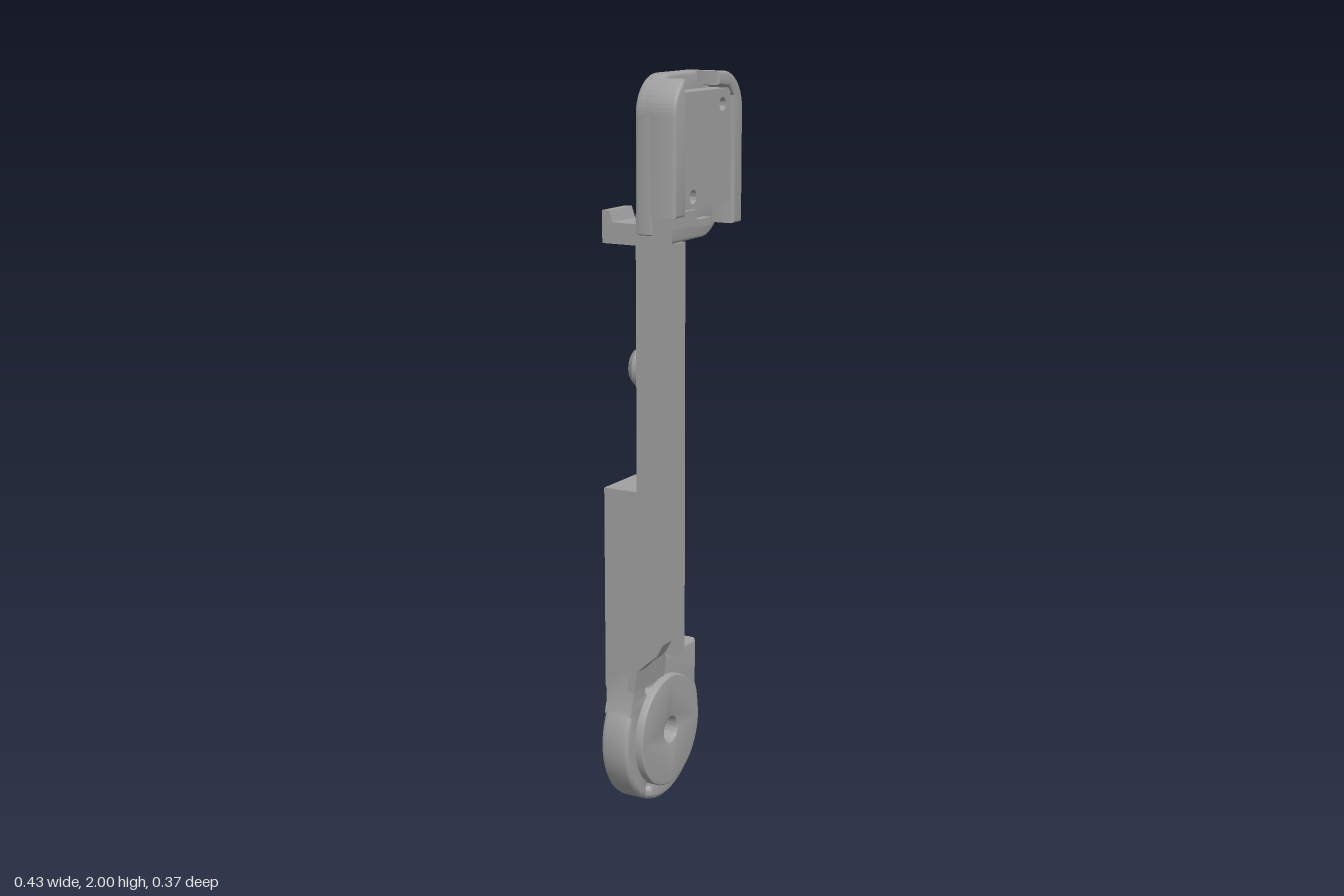
import * as THREE from 'three';
import { toCreasedNormals } from 'three/addons/utils/BufferGeometryUtils.js';

const rad = THREE.MathUtils.degToRad;

export function createModel() {
  const grey = new THREE.MeshStandardMaterial({ color: 0xa0a0a0 });
  grey.name = 'grey plastic';
  const arm = new THREE.Group();
  arm.name = 'armAssembly';

  const add = (name, geometry) => {
    const mesh = new THREE.Mesh(geometry, grey);
    mesh.name = name;
    arm.add(mesh);
    return mesh;
  };
  const box = (name, x0, x1, y0, y1, z0, z1) => {
    const g = new THREE.BoxGeometry(x1 - x0, y1 - y0, z1 - z0);
    g.translate((x0 + x1) / 2, (y0 + y1) / 2, (z0 + z1) / 2);
    return add(name, g);
  };
  const poly = (pts) => new THREE.Shape(pts.map(([x, y]) => new THREE.Vector2(x, y)));
  const circle = (x, y, r) => new THREE.Shape().absarc(x, y, r, 0, Math.PI * 2, false);
  const pierce = (shape, ...holes) => {
    for (const [x, y, r] of holes) shape.holes.push(new THREE.Path().absarc(x, y, r, 0, Math.PI * 2, true));
    return shape;
  };
  // Extrudes an outline drawn in x, y between two depths, with rounded rims
  const slab = (name, shape, z0, z1, bevel = 0) => {
    const g = new THREE.ExtrudeGeometry(shape, {
      depth: z1 - z0 - 2 * bevel, curveSegments: 32, bevelEnabled: bevel > 0,
      bevelThickness: bevel, bevelSize: bevel, bevelOffset: -bevel, bevelSegments: 3,
    });
    g.translate(0, 0, z0 + bevel);
    return add(name, toCreasedNormals(g, 0.6));
  };
  // Extrudes a side profile drawn in z, y across the width
  const sideSlab = (name, pts, x0, x1) => {
    const g = new THREE.ExtrudeGeometry(poly(pts), { depth: x1 - x0, bevelEnabled: false });
    g.rotateY(-Math.PI / 2).translate(x1, 0, 0);
    return add(name, g);
  };

  // Lower joint: round housing with a squared top corner and three pin holes
  const housing = new THREE.Shape();
  housing.moveTo(0.183, 0.41);
  housing.lineTo(-0.172, 0.41);
  housing.lineTo(-0.172, 0.302);
  housing.absarc(0, 0.2, 0.2, rad(149.3), rad(383.8), false);
  housing.closePath();
  pierce(housing, [0, 0.2, 0.055]);
  for (const a of [0, 120, 240]) pierce(housing, [0.165 * Math.cos(rad(a)), 0.2 + 0.165 * Math.sin(rad(a)), 0.012]);
  slab('lowerHousing', housing, -0.105, -0.022, 0.012);
  slab('lowerDisc', pierce(circle(0, 0.2, 0.157), [0, 0.2, 0.036]), -0.075, 0, 0.004);

  // Rear reinforcement of the lower arm
  sideSlab('rearBar', [[-0.105, 0.36], [-0.015, 0.36], [-0.004, 0.44], [-0.004, 0.92], [-0.105, 0.92]], -0.172, -0.012);

  // Channelled arm: tall left rail, pierced floor, lower right rail
  sideSlab('leftRail', [[-0.005, 0.42], [0.02, 0.445], [0.055, 0.475], [0.074, 0.51], [0.074, 1.65], [-0.005, 1.65]], -0.172, -0.125);
  slab('channelFloor', pierce(poly([[-0.13, 0.44], [-0.055, 0.44], [-0.055, 1.6], [-0.13, 1.6]]), [-0.0925, 1.24, 0.024]), -0.005, 0.012);
  box('rightRail', -0.06, -0.012, 0.44, 1.565, -0.005, 0.05);
  sideSlab('channelEnd', [[-0.005, 0.43], [0.012, 0.44], [0.03, 0.5], [-0.005, 0.5]], -0.13, -0.055);

  // Hollow knob on the back of the arm
  const knobProfile = [[0.024, 0], [0.06, 0], [0.06, 0.026], [0.045, 0.045], [0.024, 0.045], [0.024, 0]];
  const knob = new THREE.LatheGeometry(knobProfile.map(([r, y]) => new THREE.Vector2(r, y)), 32);
  knob.rotateX(-Math.PI / 2).translate(-0.0925, 1.24, -0.005);
  add('knob', toCreasedNormals(knob, 0.6)).material = grey;

  // Rear hook with upturned tip
  sideSlab('rearHook', [[-0.105, 1.57], [0, 1.57], [0, 1.625], [-0.075, 1.625], [-0.085, 1.655], [-0.105, 1.655]], -0.172, -0.057);

  // Upper joint back plate
  const plate = new THREE.Shape();
  plate.moveTo(-0.175, 1.6);
  plate.lineTo(-0.135, 1.565);
  plate.absarc(0.083, 1.665, 0.1, -Math.PI / 2, 0, false);
  plate.absarc(0.083, 1.9, 0.1, 0, Math.PI / 2, false);
  plate.absarc(-0.075, 1.9, 0.1, Math.PI / 2, Math.PI, false);
  plate.closePath();
  pierce(plate, [0.005, 1.8, 0.04], [0.08, 1.91, 0.013], [-0.07, 1.69, 0.013]);
  slab('upperBackPlate', plate, -0.005, 0.048, 0.008);
  slab('upperBushing', pierce(circle(0.005, 1.8, 0.041), [0.005, 1.8, 0.022]), 0.01, 0.045);

  // Front rims on either side of the pocket
  const leftRim = new THREE.Shape();
  leftRim.moveTo(-0.175, 1.645);
  leftRim.lineTo(-0.12, 1.645);
  leftRim.lineTo(-0.12, 1.989);
  leftRim.absarc(-0.075, 1.9, 0.1, rad(116.7), Math.PI, false);
  leftRim.closePath();
  slab('leftRim', leftRim, 0.015, 0.113, 0.008);

  const rightRim = new THREE.Shape();
  rightRim.moveTo(0.135, 1.6);
  rightRim.lineTo(0.183, 1.6);
  rightRim.absarc(0.083, 1.9, 0.1, 0, Math.PI / 2, false);
  rightRim.lineTo(0.051, 2.0);
  rightRim.lineTo(0.051, 1.965);
  rightRim.lineTo(0.11, 1.96);
  rightRim.lineTo(0.135, 1.935);
  rightRim.closePath();
  slab('rightRim', rightRim, 0.025, 0.113, 0.008);

  // Square module in the pocket, with two screw holes
  box('moduleBody', -0.115, 0.127, 1.66, 1.955, 0.04, 0.085);
  const cover = poly([[-0.115, 1.66], [0.127, 1.66], [0.127, 1.955], [-0.115, 1.955]]);
  slab('moduleCover', pierce(cover, [0.083, 1.915, 0.018], [-0.072, 1.69, 0.018]), 0.085, 0.106);

  // Ledges under the module
  box('lowerLedge', -0.125, 0.03, 1.605, 1.645, 0.04, 0.06);
  box('ledgeStep', 0.03, 0.09, 1.6, 1.62, 0.04, 0.07);

  arm.rotation.y = rad(30);
  const model = new THREE.Group();
  model.name = 'jointedArm';
  model.add(arm);
  return model;
}
